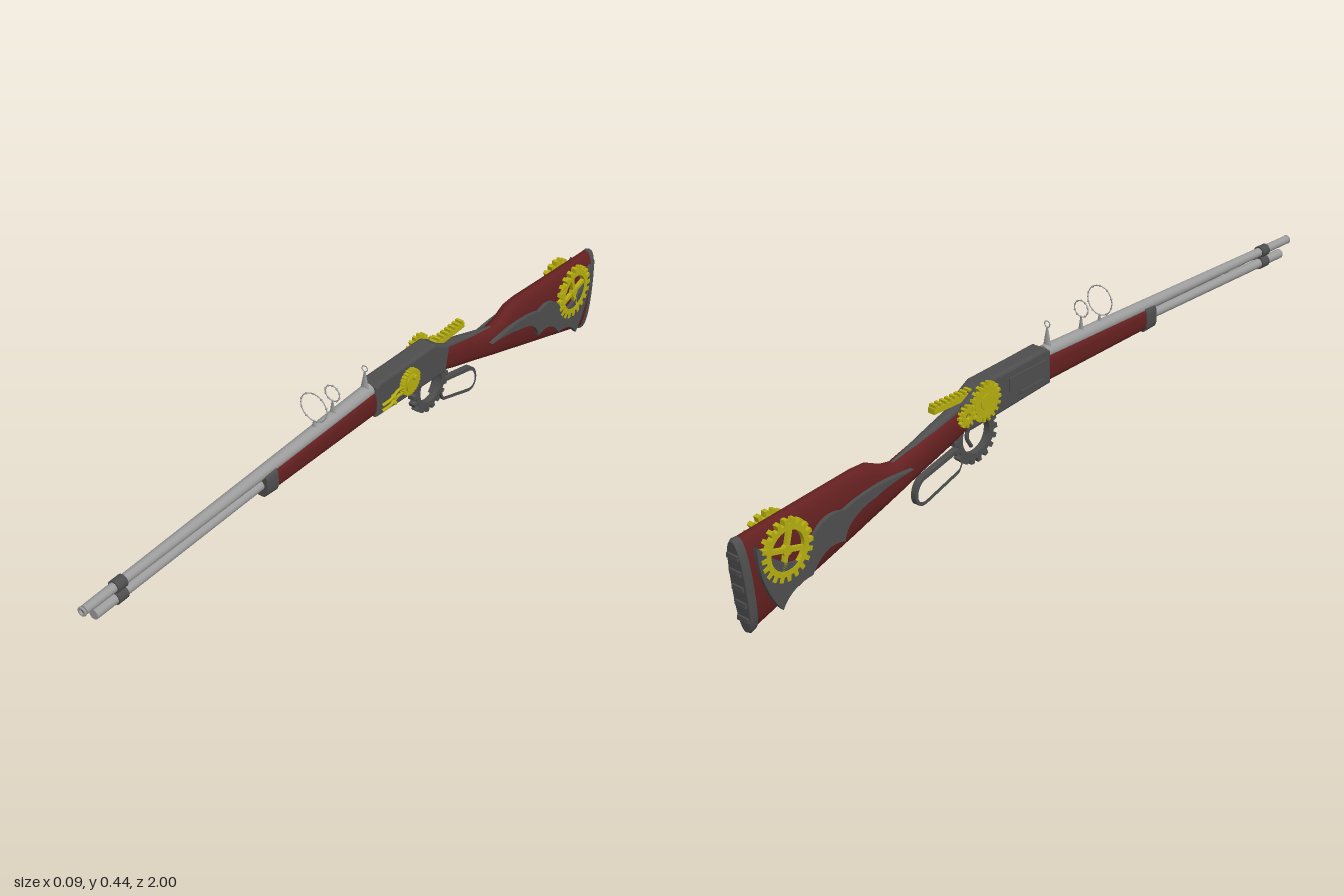
import * as THREE from 'three';

const steel = new THREE.MeshStandardMaterial({ color: 0x9c9c9c });
const darkIron = new THREE.MeshStandardMaterial({ color: 0x4e4e4e });
const redWood = new THREE.MeshStandardMaterial({ color: 0x642020 });
const brass = new THREE.MeshStandardMaterial({ color: 0xb6ae10 });
steel.name = 'steel'; darkIron.name = 'darkIron'; redWood.name = 'redWood'; brass.name = 'brass';

// Profiles use (a, y), where a runs backwards along the length (a = -z).
const poly = (pts) => new THREE.Shape(pts.map(([a, y]) => new THREE.Vector2(a, y)));

export function createModel() {
  const root = new THREE.Group();
  root.name = 'decoratedRifle';
  const body = new THREE.Group();
  body.name = 'body';
  body.position.x = -0.0035;
  root.add(body);

  const add = (name, geo, mat, x = 0, y = 0, z = 0, parent = body) => {
    const m = new THREE.Mesh(geo, mat);
    m.name = name;
    m.position.set(x, y, z);
    parent.add(m);
    return m;
  };

  // Side profile extruded across x, centred on x = 0
  const slab = (shape, width, bevel = 0) => {
    const g = new THREE.ExtrudeGeometry(shape, {
      depth: width - 2 * bevel, curveSegments: 16, bevelEnabled: bevel > 0,
      bevelThickness: bevel, bevelSize: bevel, bevelOffset: -bevel, bevelSegments: 2,
    });
    g.translate(0, 0, -(width - 2 * bevel) / 2);
    return g.rotateY(Math.PI / 2);
  };

  // Rounded cross-sections; each station is [aTop, yTop, aBottom, yBottom, halfWidth]
  const loft = (stations, power = 0.8, n = 28) => {
    const pos = [], idx = [];
    const ring = ([a0, y0, a1, y1, hw]) => {
      for (let j = 0; j < n; j++) {
        const t = (j / n) * Math.PI * 2, c = Math.cos(t), s = Math.sin(t);
        const k = 0.5 - 0.5 * Math.sign(c) * Math.abs(c) ** power;
        pos.push(hw * Math.sign(s) * Math.abs(s) ** power, y0 + (y1 - y0) * k, -(a0 + (a1 - a0) * k));
      }
    };
    stations.forEach(ring);
    for (let i = 0; i < stations.length - 1; i++) {
      for (let j = 0; j < n; j++) {
        const a = i * n + j, b = i * n + ((j + 1) % n);
        idx.push(a, b, a + n, b, b + n, a + n);
      }
    }
    [stations[0], stations[stations.length - 1]].forEach((s, end) => {
      const base = pos.length / 3;
      ring(s);
      pos.push(0, (s[1] + s[3]) / 2, -(s[0] + s[2]) / 2);
      for (let j = 0; j < n; j++) {
        const p = base + j, q = base + ((j + 1) % n);
        idx.push(base + n, end ? p : q, end ? q : p);
      }
    });
    const g = new THREE.BufferGeometry();
    g.setAttribute('position', new THREE.Float32BufferAttribute(pos, 3));
    g.setIndex(idx);
    g.computeVertexNormals();
    return g;
  };

  const gear = (r, hole, teeth, width, tooth = 0.01) => {
    const pts = [];
    for (let i = 0; i < teeth; i++) {
      [[-0.3, 0], [-0.22, 1], [0.22, 1], [0.3, 0]].forEach(([o, t]) => {
        const ang = ((i + o) / teeth) * Math.PI * 2, rad = r - tooth * (1 - t);
        pts.push([Math.cos(ang) * rad, Math.sin(ang) * rad]);
      });
    }
    const s = poly(pts);
    if (hole) s.holes.push(new THREE.Path().absarc(0, 0, hole, 0, Math.PI * 2, true));
    return slab(s, width);
  };

  const rod = (r1, r0, z0, z1, seg = 24) =>
    new THREE.CylinderGeometry(r1, r0, z1 - z0, seg).rotateX(Math.PI / 2).translate(0, 0, (z0 + z1) / 2);
  const disc = (r, w) => new THREE.CylinderGeometry(r, r, w, 28).rotateZ(Math.PI / 2);
  const tube = (pts, r, closed = false) => new THREE.TubeGeometry(
    new THREE.CatmullRomCurve3(pts.map((p) => new THREE.Vector3(...p)), closed), 40, r, 8, closed);

  // Barrel with hollow muzzle, magazine tube, and front band
  add('barrel', rod(0.011, 0.018, 0, 0.992), steel, 0, 0.338);
  add('muzzleRim', new THREE.TorusGeometry(0.009, 0.003, 8, 24), steel, 0, 0.338, 0.997);
  add('muzzleBore', new THREE.CircleGeometry(0.007, 20), darkIron, 0, 0.338, 0.9925);
  add('magazineTube', rod(0.0125, 0.0125, 0.38, 0.965), steel, 0, 0.307);
  add('barrelBand', rod(0.0155, 0.0155, 0.87, 0.9), darkIron, 0, 0.338);
  add('magazineBand', rod(0.016, 0.016, 0.87, 0.9), darkIron, 0, 0.307);

  // Fore-end and its cap
  add('foreEnd', loft([[-0.38, 0.335, -0.38, 0.279, 0.02], [0.01, 0.342, 0.01, 0.266, 0.023]], 0.65), redWood);
  add('foreEndCap', loft([[-0.41, 0.34, -0.41, 0.276, 0.021], [-0.37, 0.342, -0.37, 0.273, 0.022]], 0.65), darkIron);

  // Receiver, side panel and tang
  add('receiver', slab(poly([[0, 0.266], [0, 0.35], [0.015, 0.36], [0.09, 0.355], [0.24, 0.347],
    [0.305, 0.31], [0.29, 0.24], [0.19, 0.248]]), 0.05, 0.007), darkIron);
  add('sidePanel', slab(poly([[0.02, 0.30], [0.02, 0.335], [0.15, 0.33], [0.15, 0.295]]), 0.005), darkIron, -0.026);
  add('loadingSlot', slab(poly([[0.03, 0.28], [0.03, 0.288], [0.11, 0.284], [0.11, 0.276]]), 0.005), darkIron, -0.026);
  add('upperTang', loft([[0.24, 0.346, 0.24, 0.30, 0.018], [0.31, 0.311, 0.31, 0.28, 0.016],
    [0.42, 0.275, 0.42, 0.25, 0.012], [0.52, 0.243, 0.52, 0.225, 0.005]]), darkIron);

  // Stock, butt plate and ribs
  add('stock', loft([
    [0.285, 0.313, 0.27, 0.243, 0.023], [0.36, 0.29, 0.34, 0.216, 0.022], [0.45, 0.262, 0.43, 0.187, 0.022],
    [0.515, 0.243, 0.50, 0.163, 0.023], [0.55, 0.25, 0.55, 0.146, 0.024], [0.595, 0.271, 0.60, 0.129, 0.025],
    [0.64, 0.272, 0.65, 0.112, 0.026], [0.80, 0.258, 0.79, 0.066, 0.026], [0.98, 0.242, 0.952, 0.012, 0.026],
  ]), redWood);
  add('buttPlate', loft([[0.975, 0.243, 0.948, 0.008, 0.0265], [0.988, 0.243, 0.962, 0.003, 0.027],
    [0.995, 0.238, 0.968, 0.006, 0.023]]), darkIron);
  for (let i = 0; i < 5; i++) {
    const k = (i + 0.9) / 5.8;
    add('buttRib', new THREE.BoxGeometry(0.034, 0.012, 0.012), darkIron, 0, 0.238 - 0.232 * k, -(0.994 - 0.027 * k));
  }

  // Wing-shaped stock plates and spoked gears on both sides
  const wing = new THREE.Shape();
  wing.moveTo(0.48, 0.222);
  wing.quadraticCurveTo(0.62, 0.235, 0.70, 0.205);
  wing.quadraticCurveTo(0.76, 0.225, 0.80, 0.17);
  wing.quadraticCurveTo(0.84, 0.09, 0.955, 0.22);
  wing.quadraticCurveTo(0.955, 0.12, 0.89, 0.04);
  wing.quadraticCurveTo(0.865, 0.085, 0.80, 0.088);
  wing.quadraticCurveTo(0.76, 0.15, 0.70, 0.13);
  wing.quadraticCurveTo(0.69, 0.185, 0.60, 0.2);
  wing.quadraticCurveTo(0.56, 0.216, 0.48, 0.222);
  for (const side of [-1, 1]) {
    add('stockWingPlate', slab(wing, 0.012), darkIron, side * 0.029);
    const g = new THREE.Group();
    g.name = 'stockGear';
    g.position.set(side * 0.03, 0.178, -0.87);
    body.add(g);
    add('gearRing', gear(0.074, 0.048, 20, 0.014, 0.013), brass, 0, 0, 0, g);
    add('gearHub', disc(0.013, 0.014), brass, 0, 0, 0, g);
    for (const a of [0.25, 0.25 + Math.PI / 2]) {
      add('gearSpoke', new THREE.BoxGeometry(0.01, 0.108, 0.011), brass, 0, 0, 0, g).rotation.x = a;
    }
  }

  // Left side dial with curved prongs
  add('dial', gear(0.035, 0, 24, 0.014, 0.003), brass, 0.031, 0.305, -0.125);
  add('dialRim', disc(0.024, 0.004), brass, 0.039, 0.305, -0.125);
  add('dialKnob', disc(0.007, 0.01), brass, 0.043, 0.32, -0.13);
  for (const d of [0, 0.016]) {
    add('dialProng', tube([[0.028, 0.300 - d, -0.1], [0.034, 0.309 - d, -0.07], [0.037, 0.303 - d, -0.04],
      [0.03, 0.296 - d, -0.015]], 0.004), brass);
    add('prongPin', disc(0.005, 0.012), brass, 0.039, 0.305 - d, -0.05);
  }

  // Right side meshing gears
  add('largeSideGear', gear(0.05, 0.014, 18, 0.01), brass, -0.031, 0.304, -0.238);
  add('largeGearHub', disc(0.02, 0.004), brass, -0.036, 0.304, -0.238);
  add('smallSideGear', gear(0.028, 0.008, 12, 0.01, 0.008), brass, -0.03, 0.288, -0.3);

  // Toothed rack behind the receiver
  add('rackBar', new THREE.BoxGeometry(0.02, 0.014, 0.145), brass, 0, 0.322, -0.313);
  for (let i = 0; i < 9; i++) {
    add('rackTooth', new THREE.BoxGeometry(0.02, 0.009, 0.008), brass, 0, 0.332, -0.248 - i * 0.0162);
  }

  // Toothed trigger guard, trigger and finger lever
  add('triggerGuard', gear(0.073, 0.046, 18, 0.018, 0.012), darkIron, 0, 0.214, -0.247);
  add('trigger', tube([[0, 0.25, -0.255], [0, 0.215, -0.27], [0, 0.185, -0.255]], 0.005), darkIron);
  const lever = (w) => {
    const top = [[0.30, 0.198], [0.42, 0.168]], s = new THREE.Shape();
    s.moveTo(top[0][0], top[0][1] + w);
    s.lineTo(top[1][0], top[1][1] + w);
    s.bezierCurveTo(0.452 + w, 0.16 + w, 0.46 + w, 0.095 - w, 0.415, 0.106 - w);
    s.lineTo(0.305, 0.142 - w);
    s.quadraticCurveTo(0.285 - w, 0.17, top[0][0], top[0][1] + w);
    return s;
  };
  const loop = lever(0.005);
  loop.holes.push(lever(-0.005));
  add('fingerLever', slab(loop, 0.016), darkIron);

  // Three ring sights, all sharing one line of aim
  for (const [z, r, base] of [[0.21, 0.038, 0.009], [0.14, 0.021, 0.009], [0.015, 0.008, 0.013]]) {
    const bottom = 0.345, top = 0.407 - r;
    add('sightPost', new THREE.CylinderGeometry(0.0025, base, top - bottom, 12).scale(1, 1, 0.45),
      steel, 0, (top + bottom) / 2, z);
    add('sightRing', new THREE.TorusGeometry(r, 0.0013, 8, 40), steel, 0, 0.407, z);
    if (r < 0.01) continue;
    for (let i = 0; i < 10; i++) {
      const a = (i / 10) * Math.PI * 2 + Math.PI / 2;
      add('sightBead', new THREE.SphereGeometry(0.0028, 8, 6), steel, Math.cos(a) * r, 0.407 + Math.sin(a) * r, z);
    }
  }
  return root;
}
